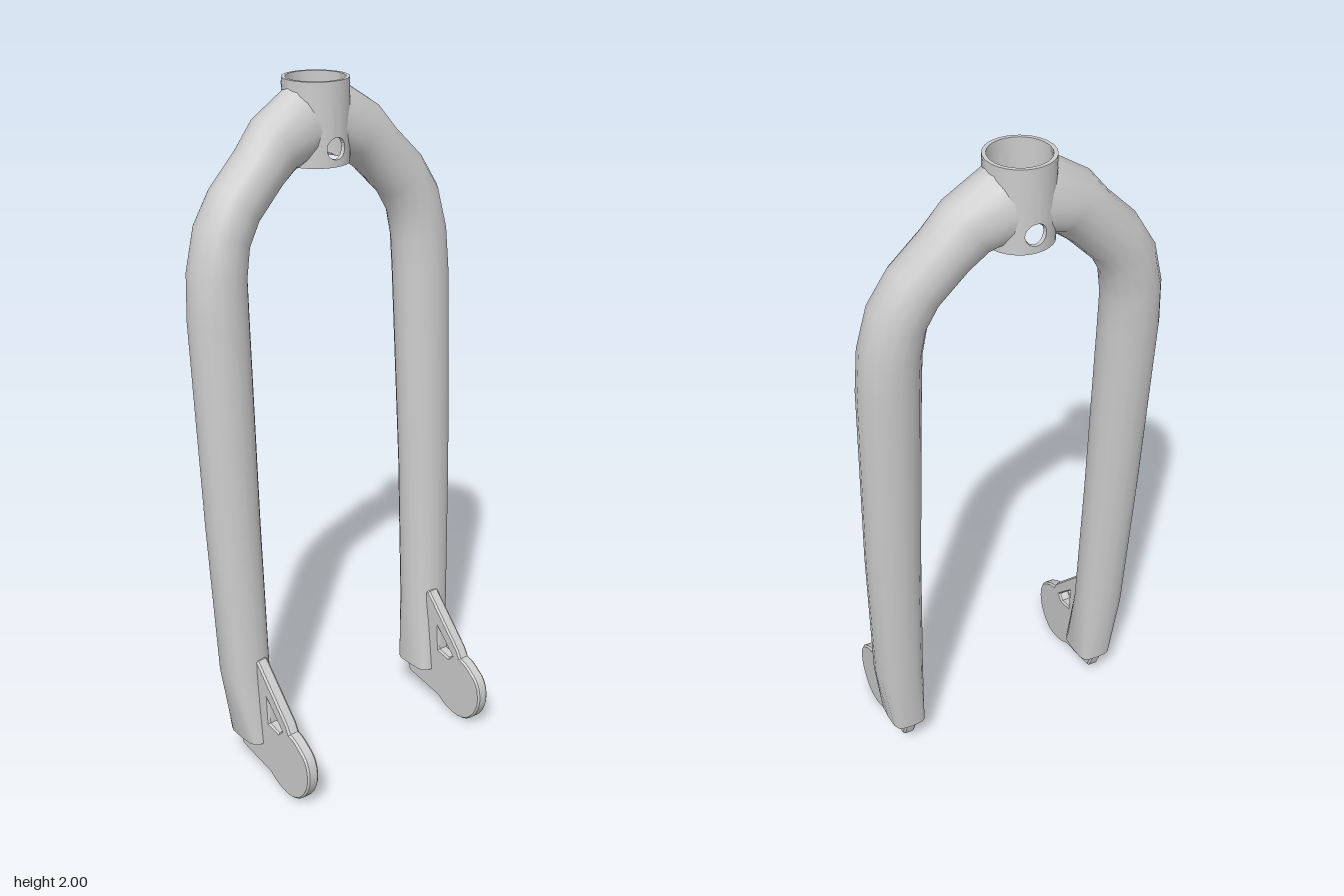
import * as THREE from 'three';
import { toCreasedNormals } from 'three/addons/utils/BufferGeometryUtils.js';

const material = new THREE.MeshStandardMaterial({ color: 0xcccccc });
const CROWN_Z = -0.152;

// Skin a list of closed rings; flip reverses the facing, cap closes the first ring
function loft(rings, flip = false, cap = false) {
  const n = rings[0].length;
  const index = [];
  const tri = (a, b, c) => (flip ? index.push(a, c, b) : index.push(a, b, c));
  for (let i = 0; i < rings.length - 1; i++) {
    for (let j = 0; j < n; j++) {
      const k = (j + 1) % n;
      const a = i * n + j, b = i * n + k, c = b + n, d = a + n;
      tri(a, b, c);
      tri(a, c, d);
    }
  }
  if (cap) for (let j = 1; j < n - 1; j++) tri(0, j + 1, j);
  const geometry = new THREE.BufferGeometry();
  geometry.setAttribute('position', new THREE.Float32BufferAttribute(rings.flat(2), 3));
  geometry.setIndex(index);
  return toCreasedNormals(geometry, 0.7);
}

function addMesh(parent, name, geometry) {
  const mesh = new THREE.Mesh(geometry, material);
  mesh.name = name;
  parent.add(mesh);
  return mesh;
}

// Leg stations: x, y, z, tilt in degrees, half width, half depth, squareness (1 = round)
const LEG = [
  [0.328, 0.115, -0.044, 0, 0.053, 0.07, 0.5],
  [0.346, 0.34, -0.065, 0, 0.073, 0.067, 0.9],
  [0.355, 0.8, -0.088, 0, 0.081, 0.073, 1],
  [0.357, 1.4, -0.122, 0, 0.087, 0.08, 1],
  [0.352, 1.52, -0.129, 10, 0.085, 0.08, 1],
  [0.33, 1.62, -0.134, 27, 0.083, 0.079, 1],
  [0.285, 1.695, -0.138, 42, 0.082, 0.077, 1],
  [0.2, 1.78, -0.144, 45, 0.081, 0.077, 1],
  [0.145, 1.835, -0.149, 55, 0.091, 0.08, 1],
  [0, 1.872, CROWN_Z, 90, 0.108, 0.083, 1],
];

function legGeometry(side) {
  const sides = 16;
  const power = (v, e) => Math.sign(v) * Math.abs(v) ** e;
  const rings = LEG.map(([x, y, z, tilt, w, d, e], i) => {
    const a = THREE.MathUtils.degToRad(tilt);
    return Array.from({ length: sides }, (_, j) => {
      const t = (j / sides) * Math.PI * 2;
      const across = w * power(Math.cos(t), e);
      const depth = -d * power(Math.sin(t), e);
      // The last ring hugs the round wall of the crown tube
      const px = i === LEG.length - 1
        ? Math.sqrt(0.089 ** 2 - depth ** 2)
        : x + across * Math.cos(a);
      return [side * px, y + across * Math.sin(a), z + depth];
    });
  });
  return loft(rings, side < 0, true);
}

// Half of the crown tube, with a round hole through the middle of its wall
function crownHalfGeometry() {
  const around = 64, steps = 8, hole = 0.03;
  const holeY = 1.82, bottom = 1.77, top = 2;
  const ring = (t, r) => Array.from({ length: around }, (_, j) => {
    const p = (j / around) * Math.PI * 2;
    const c = Math.cos(p), s = Math.sin(p);
    const m = Math.max(Math.abs(c), Math.abs(s));
    const reach = s > 0 ? top - holeY : holeY - bottom;
    const theta = THREE.MathUtils.lerp((hole * c) / 0.093, (c / m) * Math.PI / 2, t);
    const y = holeY + THREE.MathUtils.lerp(hole * s, (s / m) * reach, t);
    return [r * Math.sin(theta), y, r * Math.cos(theta)];
  });
  const rings = [];
  for (let i = 0; i <= steps; i++) rings.push(ring(i / steps, 0.093));
  for (let i = steps; i >= 0; i--) rings.push(ring(i / steps, 0.082));
  rings.push(ring(0, 0.093));
  return loft(rings, true);
}

// Flat wheel-axle plate with a rounded nose, a strut and a small window
function dropoutGeometry() {
  const shape = new THREE.Shape();
  shape.moveTo(-0.01, 0.38);
  shape.lineTo(-0.09, 0.3);
  shape.lineTo(-0.1, 0.11);
  shape.lineTo(-0.08, 0.062);
  shape.lineTo(0.06, 0.036);
  shape.quadraticCurveTo(0.1, 0.006, 0.15, 0.005);
  shape.bezierCurveTo(0.2, 0.005, 0.24, 0.06, 0.24, 0.105);
  shape.quadraticCurveTo(0.24, 0.16, 0.205, 0.18);
  shape.quadraticCurveTo(0.175, 0.205, 0.15, 0.208);
  shape.lineTo(0.135, 0.235);
  shape.lineTo(0, 0.38);
  const pts = [[0.044, 0.288], [0.124, 0.207], [0.102, 0.186], [0.05, 0.196]];
  shape.holes.push(new THREE.Path(pts.map(([x, y]) => new THREE.Vector2(x, y))));
  const geometry = new THREE.ExtrudeGeometry(shape, {
    depth: 0.026, bevelThickness: 0.006, bevelSize: 0.005, bevelSegments: 1, curveSegments: 8,
  });
  geometry.translate(0, 0, -0.013);
  geometry.rotateY(-Math.PI / 2);
  return toCreasedNormals(geometry, 0.5);
}

export function createModel() {
  const fork = new THREE.Group();
  fork.name = 'fork';

  // Crown tube: front and back halves
  const crown = new THREE.Group();
  crown.name = 'crownTube';
  crown.position.z = CROWN_Z;
  fork.add(crown);
  addMesh(crown, 'crownFront', crownHalfGeometry());
  addMesh(crown, 'crownBack', crownHalfGeometry()).rotation.y = Math.PI;

  // Legs and axle plates
  for (const [side, label] of [[1, 'left'], [-1, 'right']]) {
    addMesh(fork, label + 'Leg', legGeometry(side));
    addMesh(fork, label + 'Dropout', dropoutGeometry()).position.x = side * 0.329;
  }
  return fork;
}
